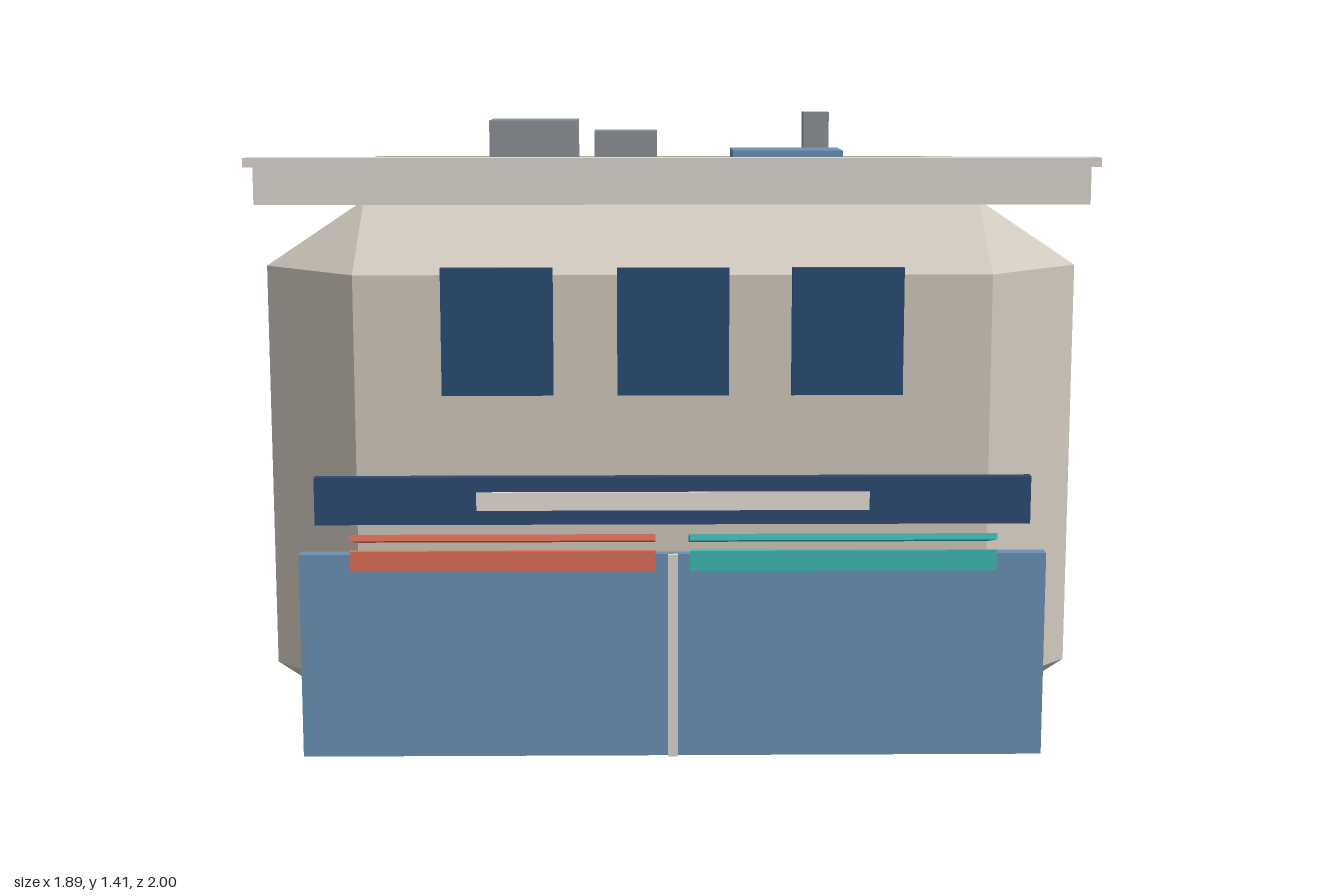
import * as THREE from 'three';
import { ConvexGeometry } from 'three/addons/geometries/ConvexGeometry.js';

const colors = {
  wall: 0xd0c8bc, roof: 0xb0a898, trim: 0xdcd8d0, navy: 0x2c4a72, glass: 0x2a4d74,
  blue: 0x6a90b5, orange: 0xe07058, teal: 0x40bab5, metal: 0x8c9298, sign: 0xe8e0d8,
};
const mats = {};
for (const k in colors) mats[k] = new THREE.MeshStandardMaterial({ color: colors[k], flatShading: true });

export function createModel() {
  const root = new THREE.Group();
  const add = (name, geo, mat) => {
    const m = new THREE.Mesh(geo, mats[mat]);
    m.name = name;
    root.add(m);
    return m;
  };
  // box given by its minimum and maximum on each axis
  const box = (name, mat, x0, x1, y0, y1, z0, z1) => {
    const m = add(name, new THREE.BoxGeometry(x1 - x0, y1 - y0, z1 - z0), mat);
    m.position.set((x0 + x1) / 2, (y0 + y1) / 2, (z0 + z1) / 2);
    return m;
  };

  // main body: box with all edges bevelled and triangular corners
  const [hx, hy, hz, bevel, bevelY] = [0.93, 0.62, 0.93, 0.225, 0.15];
  const pts = [];
  for (const sx of [-1, 1]) for (const sy of [-1, 1]) for (const sz of [-1, 1]) {
    const p = (x, y, z) => pts.push(new THREE.Vector3(sx * x, sy * y, sz * z));
    p(hx, hy - bevelY, hz - bevel);
    p(hx - bevel, hy, hz - bevel);
    p(hx - bevel, hy - bevelY, hz);
  }
  add('body', new ConvexGeometry(pts), 'wall').position.set(0, hy, -0.07);

  // roof slab and front parapet
  box('roof', 'roof', -0.87, 0.87, 1.254, 1.268, -0.947, 0.807);
  box('parapet', 'trim', -0.917, 0.917, 1.244, 1.326, 0.814, 0.855);
  box('parapetCap', 'trim', -0.938, 0.938, 1.326, 1.346, 0.808, 0.86);

  // rooftop equipment
  box('skylight', 'blue', 0.16, 0.435, 1.27, 1.333, -0.01, 0.18);
  box('largeAirUnit', 'metal', -0.475, -0.24, 1.27, 1.397, -0.363, -0.195);
  box('smallAirUnit', 'metal', -0.195, -0.027, 1.27, 1.368, -0.352, -0.212);
  box('ventStack', 'metal', 0.38, 0.45, 1.27, 1.414, -0.472, -0.403);

  // windows
  for (const x of [-0.387, 0, 0.384])
    box('frontWindow', 'glass', x - 0.123, x + 0.123, 0.826, 1.108, 0.873, 0.888);
  for (const s of [-1, 1]) for (const z of [0.265, -0.48])
    box('sideWindow', 'glass', s * 0.935 - 0.009, s * 0.935 + 0.009, 0.847, 1.046, z - 0.205, z + 0.205);

  // sign band
  box('signBand', 'navy', -0.797, 0.797, 0.535, 0.642, 0.862, 0.886);
  box('signPanel', 'sign', -0.437, 0.437, 0.568, 0.609, 0.884, 0.892);

  // shopfront
  box('shopfront', 'blue', -0.835, 0.835, 0, 0.467, 0.85, 0.885);
  box('centrePost', 'trim', -0.011, 0.011, 0, 0.467, 0.88, 0.893);

  // tilted awnings with hanging valances
  for (const [x0, x1, mat] of [[-0.705, -0.04, 'orange'], [0.035, 0.705, 'teal']]) {
    const slab = box('awning', mat, x0, x1, 0.507, 0.521, 0.86, 1.0);
    slab.rotation.x = -0.25;
    box('awningValance', mat, x0, x1, 0.456, 0.501, 0.988, 1.0);
  }
  return root;
}
